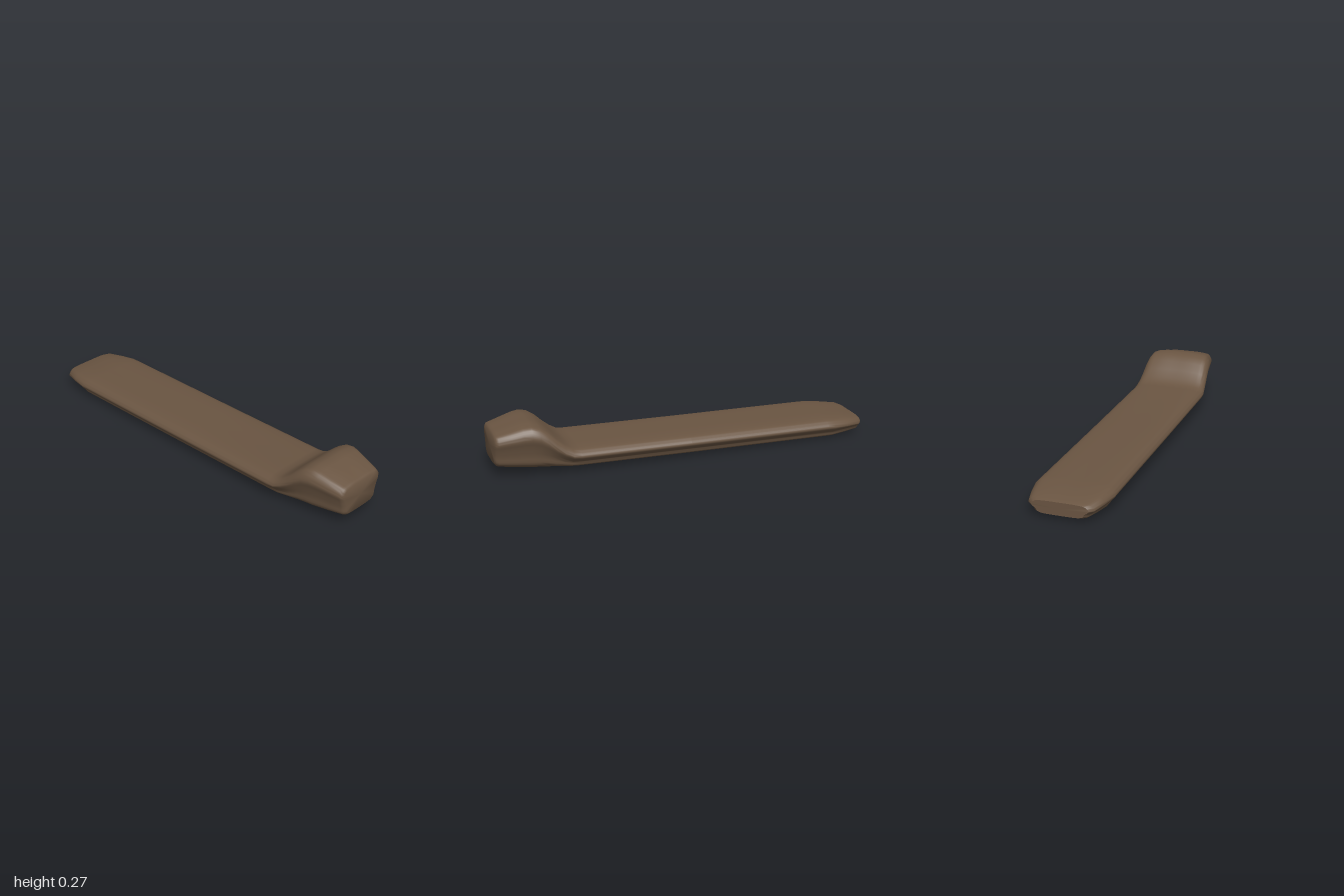
import * as THREE from 'three';
import { toCreasedNormals } from 'three/addons/utils/BufferGeometryUtils.js';

// Half cross-section: undercut below, widest at the shoulder (height m), soft flat top.
// Values are fractions of half width and height.
function sectionLoop(m) {
  const half = [
    [0, 0], [0.42, 0.005], [0.66, 0.04], [0.8, 0.14], [0.84, 0.32],
    [0.93, m - 0.16], [1, m], [0.97, m + (1 - m) * 0.4], [0.86, m + (1 - m) * 0.8],
    [0.66, 0.98], [0.4, 1], [0, 1],
  ];
  const curve = new THREE.CatmullRomCurve3(
    half.map(([x, y]) => new THREE.Vector3(x, y, 0)), false, 'centripetal');
  const right = curve.getPoints(33);
  const left = right.slice(1, -1).reverse().map((p) => new THREE.Vector3(-p.x, p.y, 0));
  return [...right, ...left];
}

// Skin a run of sections [z, halfWidth, bottom, top, shoulder] and cap both ends.
function loft(sections) {
  const positions = [];
  const index = [];
  const n = sectionLoop(0.6).length;
  for (const [z, w, bottom, top, m] of sections) {
    for (const p of sectionLoop(m)) positions.push(p.x * w, bottom + p.y * (top - bottom), z);
  }
  const last = sections.length - 1;
  for (let i = 0; i < last; i++) {
    for (let j = 0; j < n; j++) {
      const k = (j + 1) % n;
      const a = i * n + j, b = i * n + k, c = b + n, d = a + n;
      index.push(a, b, c, a, c, d);
    }
  }
  // End caps
  for (const i of [0, last]) {
    const [z, , bottom, top] = sections[i];
    const centre = positions.length / 3;
    positions.push(0, (bottom + top) / 2, z);
    for (let j = 0; j < n; j++) {
      const a = i * n + j, b = i * n + (j + 1) % n;
      if (i === 0) index.push(centre, b, a);
      else index.push(centre, a, b);
    }
  }
  const geometry = new THREE.BufferGeometry();
  geometry.setAttribute('position', new THREE.Float32BufferAttribute(positions, 3));
  geometry.setIndex(index);
  return toCreasedNormals(geometry, 0.8);
}

export function createModel() {
  const group = new THREE.Group();
  group.name = 'paddedBench';
  const material = new THREE.MeshStandardMaterial({ color: 0x6a5542 });

  // Long pad rising into a raised block at the front, tapered at both ends
  const cushion = new THREE.Mesh(loft([
    [-1.0, 0.14, 0.02, 0.085, 0.6],
    [-0.98, 0.162, 0.013, 0.092, 0.6],
    [-0.9, 0.184, 0.006, 0.102, 0.61],
    [-0.82, 0.2, 0, 0.11, 0.62],
    [-0.78, 0.2, 0, 0.112, 0.62],
    [0, 0.2, 0.012, 0.122, 0.63],
    [0.58, 0.2, 0.023, 0.132, 0.63],
    [0.62, 0.2, 0.025, 0.137, 0.64],
    [0.66, 0.195, 0.027, 0.162, 0.65],
    [0.7, 0.191, 0.029, 0.196, 0.67],
    [0.74, 0.187, 0.031, 0.235, 0.69],
    [0.78, 0.183, 0.033, 0.261, 0.71],
    [0.82, 0.179, 0.035, 0.27, 0.72],
    [0.86, 0.17, 0.039, 0.265, 0.72],
    [0.92, 0.158, 0.046, 0.248, 0.73],
    [0.98, 0.144, 0.054, 0.232, 0.73],
    [0.992, 0.139, 0.06, 0.228, 0.73],
    [1.0, 0.125, 0.07, 0.218, 0.73],
  ]), material);
  cushion.name = 'cushion';
  group.add(cushion);
  return group;
}
